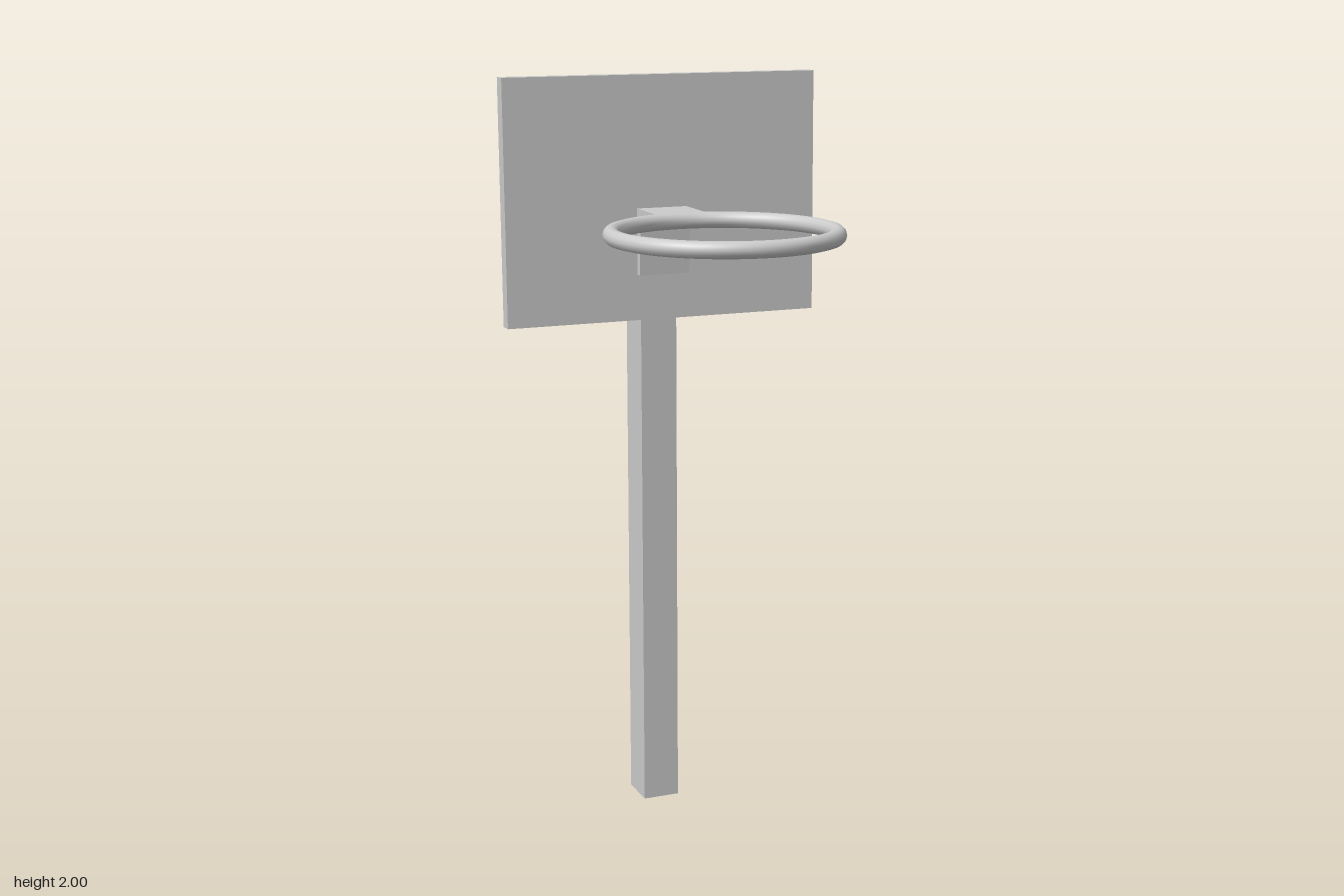
import * as THREE from 'three';

export function createModel() {
  const group = new THREE.Group();
  const material = new THREE.MeshStandardMaterial({ color: 0xcccccc });

  const add = (name, geometry, x, y, z) => {
    const mesh = new THREE.Mesh(geometry, material);
    mesh.name = name;
    mesh.position.set(x, y, z);
    group.add(mesh);
    return mesh;
  };

  // Side profile given as [z, y] points, extruded across x and centred
  const extrudeProfile = (points, width) => {
    const shape = new THREE.Shape(points.map(([z, y]) => new THREE.Vector2(-z, y)));
    const geometry = new THREE.ExtrudeGeometry(shape, { depth: width, bevelEnabled: false });
    geometry.translate(0, 0, -width / 2);
    return geometry.rotateY(Math.PI / 2);
  };

  // Square post
  add('post', new THREE.BoxGeometry(0.1, 1.715, 0.11), -0.005, 0.8575, -0.375);

  // Backboard, leaning back very slightly
  add('backboard', extrudeProfile([
    [-0.293, 1.365], [-0.33, 1.365], [-0.338, 2], [-0.3, 2],
  ], 0.86), 0, 0, 0);

  // L-shaped bracket: a shelf to the ring and a plate against the board
  add('ringBracket', extrudeProfile([
    [-0.145, 1.658], [-0.145, 1.627], [-0.27, 1.627], [-0.277, 1.485],
    [-0.297, 1.485], [-0.297, 1.658],
  ], 0.138), -0.004, 0, 0);

  // Ring, lying flat
  const ring = new THREE.TorusGeometry(0.276, 0.021, 12, 64).rotateX(Math.PI / 2);
  add('ring', ring, -0.005, 1.641, 0.131);

  return group;
}
